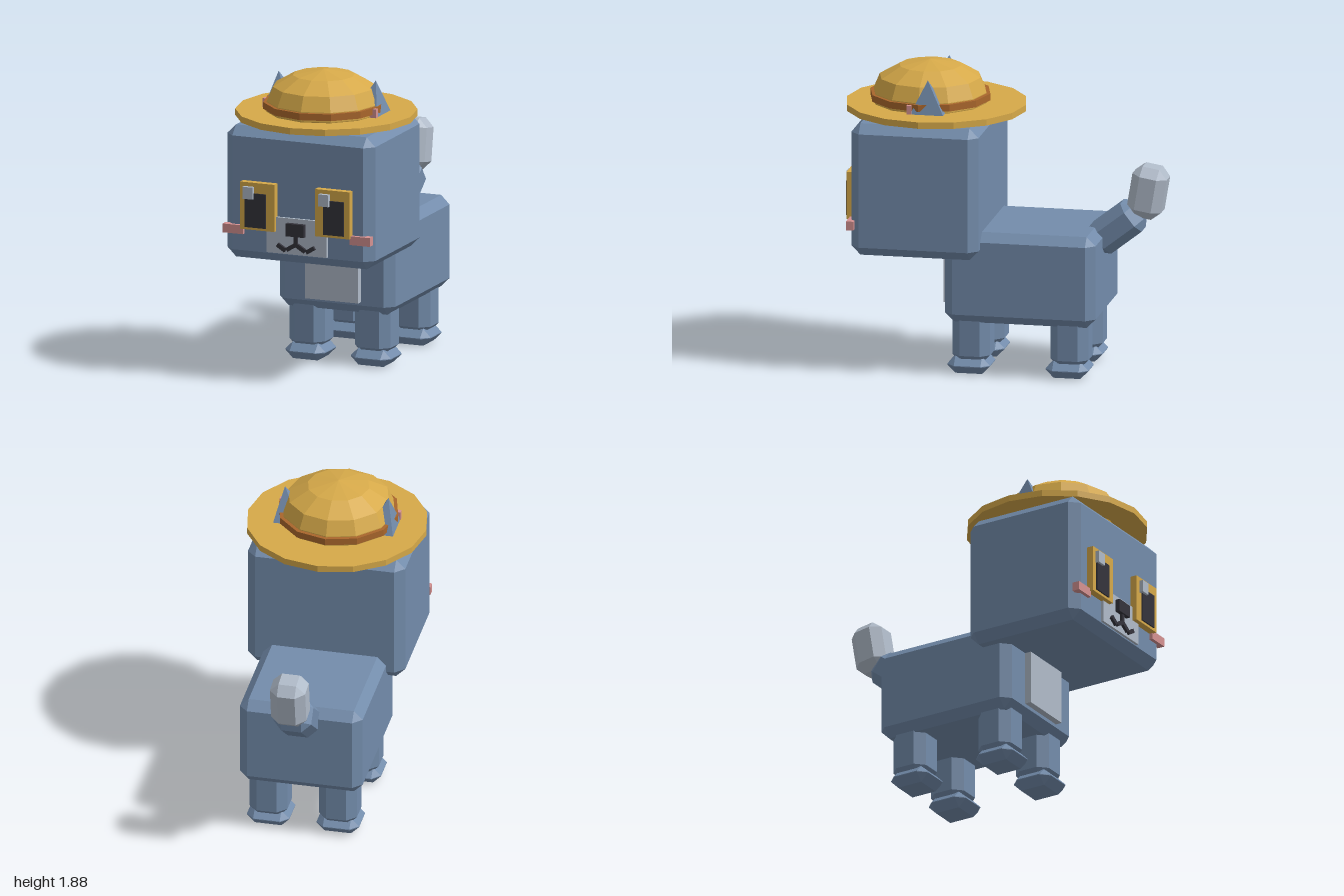
import * as THREE from 'three';
import { ConvexGeometry } from 'three/addons/geometries/ConvexGeometry.js';

const mat = (name, color) => {
  const m = new THREE.MeshStandardMaterial({ color });
  m.name = name;
  return m;
};

export function createModel() {
  const fur = mat('blue fur', 0x738cab);
  const pale = mat('pale fur', 0xb0bbc9);
  const gold = mat('straw gold', 0xd6a949);
  const brown = mat('brown band', 0xa9662c);
  const pink = mat('pink', 0xd59292);
  const dark = mat('dark', 0x34333b);

  const model = new THREE.Group();
  model.name = 'hatCat';

  const add = (name, geometry, material, x = 0, y = 0, z = 0, parent = model) => {
    const mesh = new THREE.Mesh(geometry, material);
    mesh.name = name;
    mesh.position.set(x, y, z);
    parent.add(mesh);
    return mesh;
  };

  // Box given by its lower and upper limits
  const box = (name, material, [x0, x1], [y0, y1], [z0, z1]) =>
    add(name, new THREE.BoxGeometry(x1 - x0, y1 - y0, z1 - z0), material,
      (x0 + x1) / 2, (y0 + y1) / 2, (z0 + z1) / 2);

  // Box with every edge cut off at 45 degrees
  const chamferBox = (w, h, d, c) => {
    const points = [];
    for (const sx of [-1, 1]) for (const sy of [-1, 1]) for (const sz of [-1, 1]) {
      const x = w / 2, y = h / 2, z = d / 2;
      for (const [a, b, e] of [[x, y - c, z - c], [x - c, y, z - c], [x - c, y - c, z]]) {
        points.push(new THREE.Vector3(sx * a, sy * b, sz * e));
      }
    }
    return new ConvexGeometry(points);
  };

  // Faceted solid of revolution
  const lathe = (profile, sides) => {
    const g = new THREE.LatheGeometry(profile.map(([r, y]) => new THREE.Vector2(r, y)), sides).toNonIndexed();
    g.computeVertexNormals();
    return g;
  };

  // Head and body
  add('head', chamferBox(0.98, 0.825, 0.79, 0.057), fur, 0, 1.158, 0.485);
  add('body', chamferBox(0.765, 0.57, 0.935, 0.055), fur, 0, 0.615, -0.147);
  box('chestPatch', pale, [-0.177, 0.177], [0.407, 0.8], [0.28, 0.362]);

  // Legs and paws
  for (const s of [-1, 1]) {
    for (const [name, z] of [['front', 0.167], ['back', -0.443]]) {
      add(name + 'Leg', chamferBox(0.235, 0.39, 0.235, 0.055), fur, s * 0.217, 0.255, z);
      add(name + 'Paw', chamferBox(0.265, 0.105, 0.265, 0.05), fur, s * 0.217, 0.0525, z + 0.012);
    }
  }

  // Tail in two segments
  const tail = add('tailBase', chamferBox(0.235, 0.35, 0.215, 0.055), fur, 0, 0.893, -0.685);
  tail.rotation.x = THREE.MathUtils.degToRad(-52);
  const tip = add('tailTip', chamferBox(0.22, 0.32, 0.215, 0.055), pale, 0, 1.124, -0.876);
  tip.rotation.x = THREE.MathUtils.degToRad(-9.5);

  // Muzzle, nose and mouth
  box('muzzle', pale, [-0.2, 0.2], [0.81, 1.035], [0.85, 0.897]);
  box('nose', dark, [-0.06, 0.06], [0.928, 1.007], [0.88, 0.925]);
  box('mouthLine', dark, [-0.011, 0.011], [0.86, 0.935], [0.88, 0.915]);
  for (const s of [-1, 1]) {
    for (const [x, y, angle] of [[0.034, 0.856, -0.55], [0.096, 0.851, 0.55]]) {
      const bar = add('mouthBar', new THREE.BoxGeometry(0.062, 0.026, 0.03), dark, s * x, y, 0.9);
      bar.rotation.z = s * angle;
    }
  }

  // Eyes and cheeks
  for (const s of [-1, 1]) {
    const span = (a, b) => (s > 0 ? [a, b] : [-b, -a]);
    box('eye', gold, span(0.135, 0.362), [0.947, 1.242], [0.86, 0.925]);
    box('pupil', dark, span(0.19, 0.328), [0.963, 1.177], [0.9, 0.934]);
    const gx = s > 0 ? 0.2 : -0.302;
    box('eyeGlint', pale, [gx - 0.033, gx + 0.033], [1.142, 1.217], [0.9, 0.95]);
    box('cheek', pink, span(0.353, 0.488), [0.908, 0.963], [0.856, 0.903]);
  }

  // Ears: pyramids rising through the hat, with a pink inner edge
  for (const s of [-1, 1]) {
    const ear = [[0.17, 1.56, 0.29], [0.39, 1.56, 0.29], [0.17, 1.56, 0.56], [0.39, 1.56, 0.56], [0.322, 1.83, 0.428]];
    add('ear', new ConvexGeometry(ear.map(([x, y, z]) => new THREE.Vector3(s * x, y, z))), fur);
    const inner = s > 0 ? [0.29, 0.377] : [-0.377, -0.29];
    box('innerEar', pink, inner, [1.58, 1.68], [0.52, 0.55]);
  }

  // Hat: brim, crown and band
  const hat = new THREE.Group();
  hat.name = 'hat';
  model.add(hat);
  add('hatBrim', lathe([[0, 1.585], [0.555, 1.585], [0.555, 1.625], [0, 1.625]], 16), gold, 0, 0, 0.44, hat);
  add('hatCrown', lathe([[0, 1.572], [0.335, 1.572], [0.352, 1.63], [0.35, 1.69],
    [0.312, 1.78], [0.19, 1.85], [0, 1.885]], 12), gold, 0, 0, 0.48, hat);
  add('hatBand', lathe([[0.34, 1.643], [0.372, 1.643], [0.372, 1.685], [0.34, 1.685]], 12), brown, 0, 0, 0.478, hat);

  return model;
}
